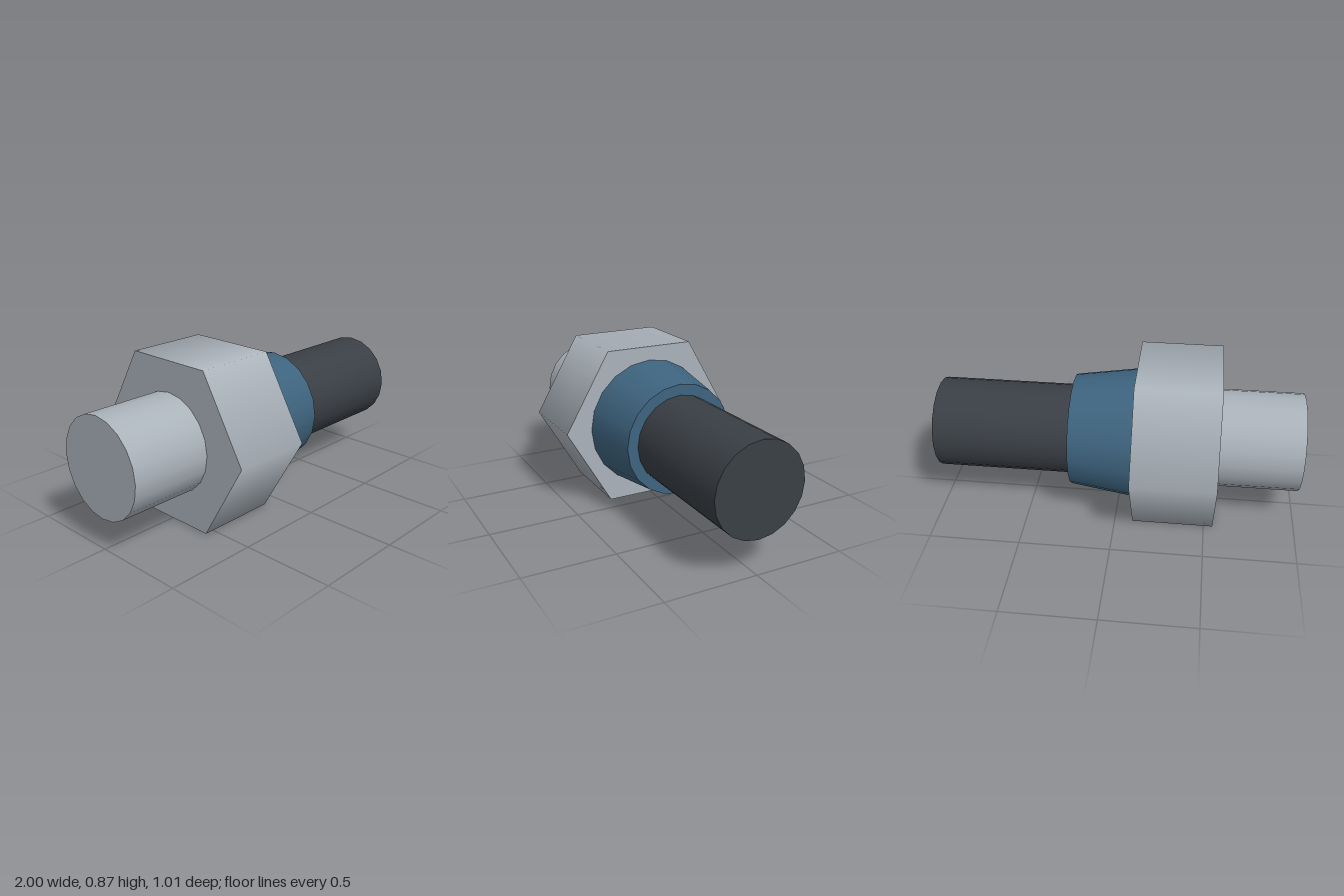
import * as THREE from 'three';

const AXIS_Y = 0.4375; // height of the shared axis

export function createModel() {
  const group = new THREE.Group();
  group.name = 'cableFitting';

  const flat = (name, color) => {
    const material = new THREE.MeshStandardMaterial({ color });
    material.name = name;
    return material;
  };
  const steel = flat('light steel', 0xaab2ba);
  const blue = flat('blue', 0x3e647f);
  const charcoal = flat('charcoal', 0x3a3f45);

  // A section along x from x0 to x1, with a radius at each end
  const section = (name, x0, x1, r0, r1, sides, material) => {
    const geometry = new THREE.CylinderGeometry(r1, r0, x1 - x0, sides);
    geometry.rotateZ(-Math.PI / 2);
    const mesh = new THREE.Mesh(geometry, material);
    mesh.name = name;
    mesh.position.set((x0 + x1) / 2, AXIS_Y, 0);
    group.add(mesh);
  };

  section('endStub', -1, -0.55, 0.27, 0.27, 20, steel);
  section('hexNut', -0.55, -0.1, 0.505, 0.505, 6, steel);
  section('taperedCollar', -0.1, 0.25, 0.36, 0.31, 20, blue);
  section('cable', 0.25, 1, 0.25, 0.25, 20, charcoal);

  return group;
}
